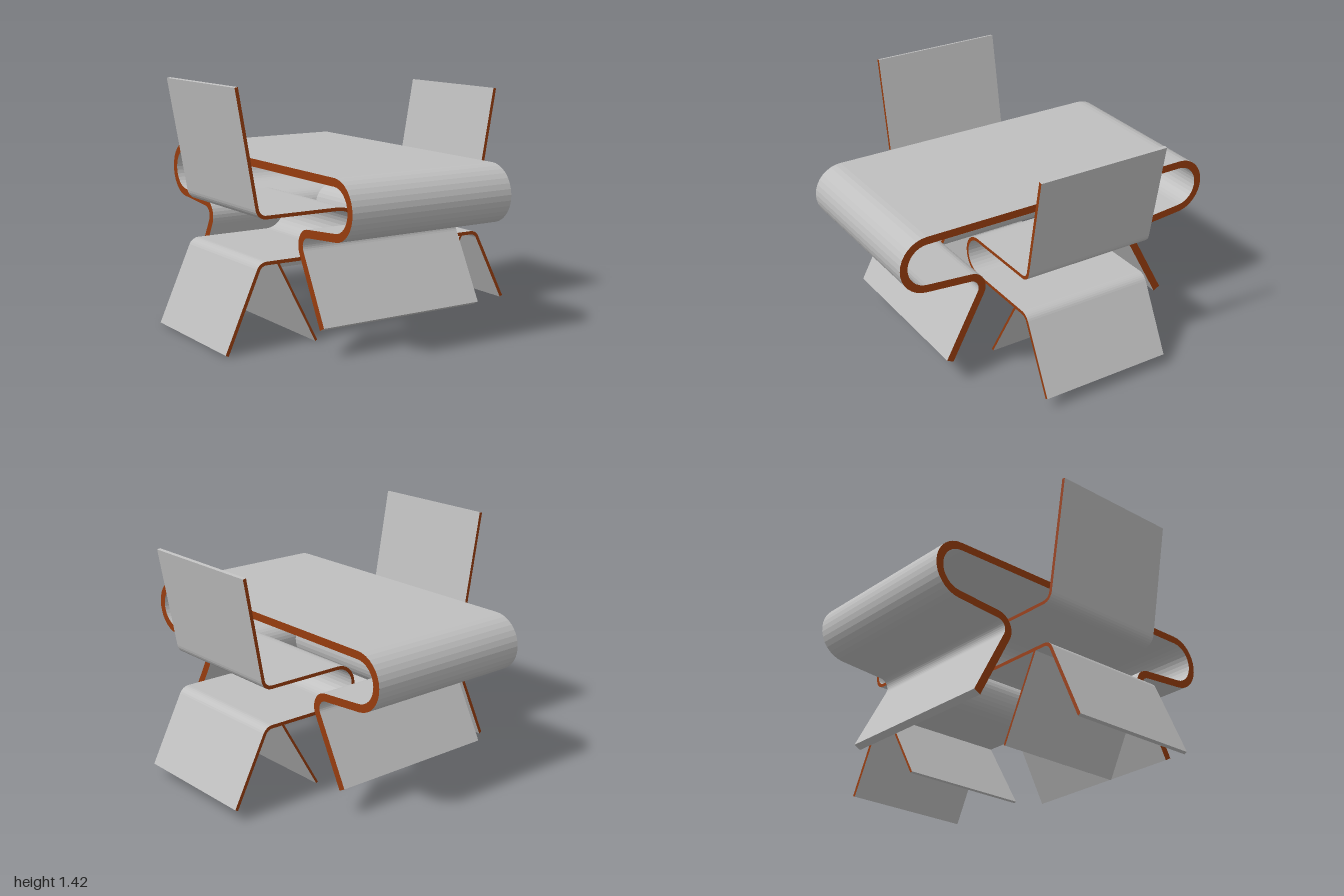
import * as THREE from 'three';

const sheetGrey = new THREE.MeshStandardMaterial({ color: 0xbfbfbf });
sheetGrey.name = 'sheetGrey';
const edgeBrown = new THREE.MeshStandardMaterial({ color: 0x963c0e });
edgeBrown.name = 'edgeBrown';

// Points along an arc, angles in degrees
function arc(cx, cy, r, from, to, steps) {
  return Array.from({ length: steps + 1 }, (_, i) => {
    const a = THREE.MathUtils.degToRad(from + ((to - from) * i) / steps);
    return [cx + r * Math.cos(a), cy + r * Math.sin(a)];
  });
}

// Bent sheet: thicken a centre line and extrude it; cut edges are brown
function bentSheet(name, path, thickness, width) {
  const one = [], two = [];
  path.forEach(([x, y], i) => {
    const a = path[Math.max(i - 1, 0)], b = path[Math.min(i + 1, path.length - 1)];
    const dx = b[0] - a[0], dy = b[1] - a[1];
    const k = thickness / 2 / Math.hypot(dx, dy);
    one.push(new THREE.Vector2(x - dy * k, y + dx * k));
    two.push(new THREE.Vector2(x + dy * k, y - dx * k));
  });
  const shape = new THREE.Shape([...one, ...two.reverse()]);
  const geo = new THREE.ExtrudeGeometry(shape, { depth: width, bevelEnabled: false });
  geo.translate(0, 0, -width / 2);
  const mesh = new THREE.Mesh(geo, [edgeBrown, sheetGrey]);
  mesh.name = name;
  return mesh;
}

// Table: one sheet curling round at both ends and folding down into legs
function createTable() {
  const half = [
    [0.715, 0.163],
    ...arc(0.58, 0.575, 0.075, 209, 95, 10),
    ...arc(0.832, 0.815, 0.143, -85, 90, 16),
  ];
  const other = half.map(([z, y]) => [-z, y]).reverse();
  const table = bentSheet('table', [...half, ...other], 0.045, 1.03);
  table.rotation.y = Math.PI / 2;
  table.position.x = -0.037;
  return table;
}

// Chair: back, seat, hairpin under the table, outer leg, plus a propped inner leg
function createChair(name, side, { topX, topY, seatY, lowY, footY, z }) {
  const r = 0.055;
  const flip = (path) => path.map(([x, y]) => [side * x, y]);
  const path = [
    [topX, topY],
    ...arc(0.7, seatY + r, r, -10, -90, 6),
    ...arc(0.24, (seatY + lowY) / 2, (seatY - lowY) / 2, 90, 270, 16),
    ...arc(0.7, lowY - r, r, 90, 27, 6),
    [0.945, footY],
  ];
  const chair = new THREE.Group();
  chair.name = name;
  chair.add(
    bentSheet('seatBackAndOuterLeg', flip(path), 0.02, 0.79),
    bentSheet('innerLeg', flip([[0.632, lowY], [0.39, footY]]), 0.014, 0.79),
  );
  chair.position.z = z;
  return chair;
}

export function createModel() {
  const model = new THREE.Group();
  model.name = 'tableWithChairs';
  model.add(
    createTable(),
    createChair('leftChair', 1, { topX: 0.862, topY: 1.335, seatY: 0.712, lowY: 0.487, footY: 0.07, z: -0.005 }),
    createChair('rightChair', -1, { topX: 0.87, topY: 1.42, seatY: 0.725, lowY: 0.477, footY: 0.006, z: 0.007 }),
  );
  return model;
}
